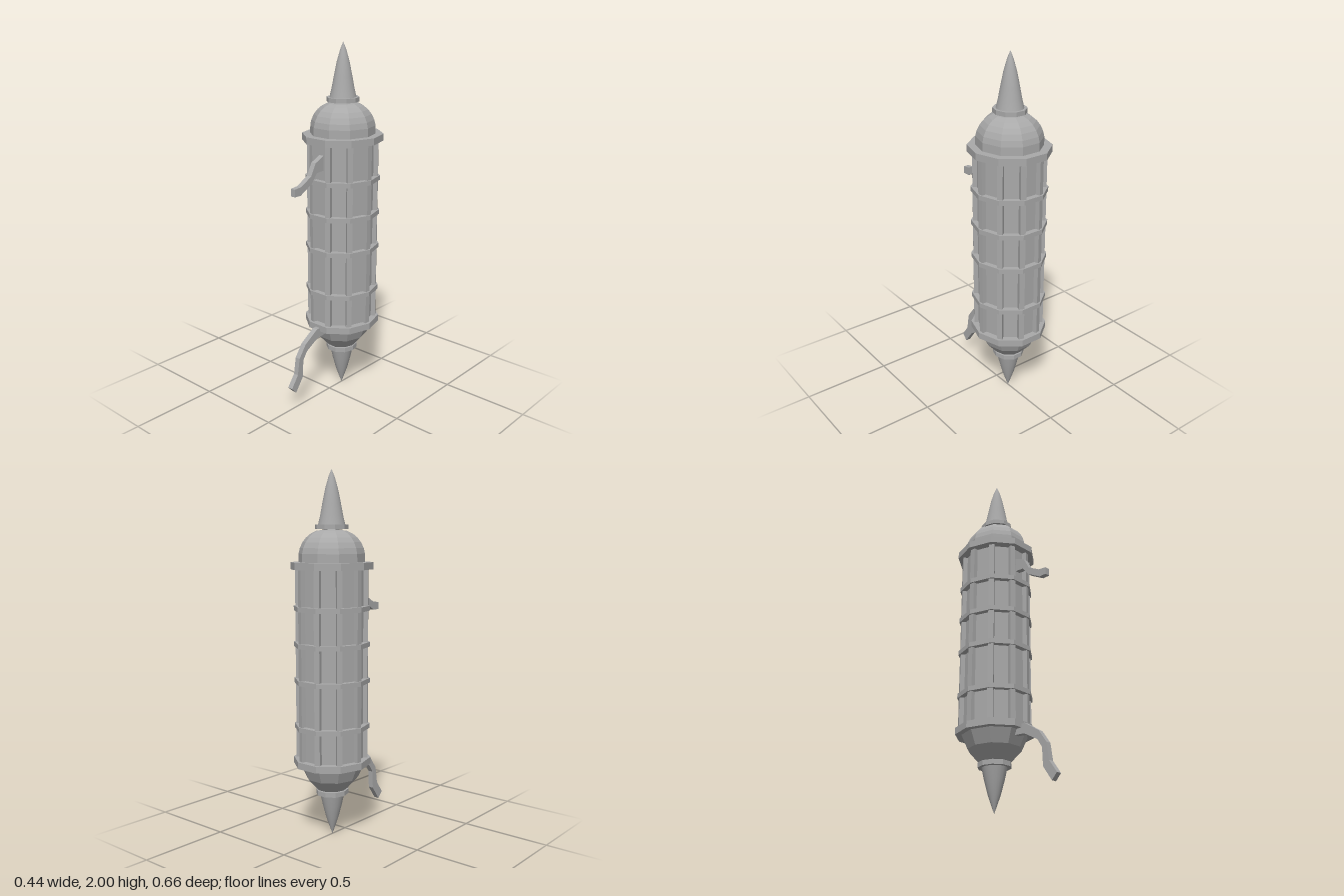
import * as THREE from 'three';

const SIDES = 10;
const AXIS_Z = -0.11;

export function createModel() {
  const model = new THREE.Group();
  model.name = 'wallLantern';
  const metal = new THREE.MeshStandardMaterial({ color: 0xa9a9a9 });
  metal.name = 'grey metal';

  // everything turned around the vertical axis; slightly deeper than wide
  const lantern = new THREE.Group();
  lantern.name = 'lantern';
  lantern.position.z = AXIS_Z;
  lantern.scale.z = 1.05;
  model.add(lantern);

  const add = (parent, name, geometry) => {
    const mesh = new THREE.Mesh(geometry, metal);
    mesh.name = name;
    parent.add(mesh);
    return mesh;
  };
  const faceted = (geometry) => {
    const flat = geometry.toNonIndexed();
    flat.computeVertexNormals();
    return flat;
  };
  // profile of [radius, y], listed from the bottom up
  const turn = (profile, sides) => new THREE.LatheGeometry(
    profile.map(([r, y]) => new THREE.Vector2(r, y)), sides, Math.PI / 2);
  const ring = (name, r, y0, y1) =>
    add(lantern, name, faceted(turn([[0, y0], [r, y0], [r, y1], [0, y1]], SIDES)));

  // ten-sided body with posts on its corners
  add(lantern, 'body', faceted(turn([[0.172, 0.42], [0.172, 1.5]], SIDES)));
  for (let i = 0; i < SIDES; i++) {
    const a = (i / SIDES) * Math.PI * 2;
    const post = add(lantern, 'post', new THREE.BoxGeometry(0.035, 1.06, 0.03));
    post.position.set(Math.cos(a) * 0.174, 0.96, Math.sin(a) * 0.174);
    post.rotation.y = -a;
  }

  // bands
  for (const y of [0.625, 0.877, 1.075, 1.27]) ring('band', 0.202, y - 0.013, y + 0.013);
  ring('topRim', 0.218, 1.477, 1.515);
  ring('bottomRim', 0.208, 0.41, 0.447);

  // dome and lower bowl
  add(lantern, 'dome', faceted(turn([
    [0.175, 1.5], [0.174, 1.56], [0.167, 1.59], [0.153, 1.62],
    [0.134, 1.645], [0.11, 1.665], [0.08, 1.68], [0, 1.69]], SIDES)));
  add(lantern, 'bowl', faceted(turn([
    [0, 0.262], [0.083, 0.268], [0.142, 0.335], [0.175, 0.412]], SIDES)));

  // collars and smooth spikes
  ring('topCollar', 0.088, 1.688, 1.712);
  ring('bottomCollar', 0.088, 0.238, 0.264);
  add(lantern, 'topSpike', turn([
    [0.072, 1.708], [0.06, 1.76], [0.049, 1.82], [0.033, 1.9], [0.016, 1.96], [0, 2]], 20));
  add(lantern, 'bottomSpike', turn([
    [0, 0], [0.014, 0.04], [0.034, 0.1], [0.053, 0.175], [0.067, 0.242]], 20));

  // flat bent brackets reaching forward, outlines given as [z, y]
  const bracket = (name, outline) => {
    const shape = new THREE.Shape(outline.map(([z, y]) => new THREE.Vector2(z, y)));
    const geometry = new THREE.ExtrudeGeometry(shape, { depth: 0.03, bevelEnabled: false });
    geometry.translate(0, 0, -0.015).rotateY(-Math.PI / 2);
    add(model, name, geometry);
  };
  bracket('upperBracket', [
    [0.05, 1.34], [0.115, 1.335], [0.155, 1.285], [0.24, 1.237], [0.283, 1.237],
    [0.283, 1.278], [0.235, 1.283], [0.16, 1.325], [0.125, 1.39], [0.05, 1.425]]);
  bracket('lowerBracket', [
    [0.04, 0.38], [0.115, 0.375], [0.205, 0.325], [0.235, 0.28], [0.24, 0.18], [0.295, 0.102],
    [0.328, 0.137], [0.28, 0.205], [0.265, 0.3], [0.215, 0.37], [0.12, 0.43], [0.04, 0.43]]);

  return model;
}
